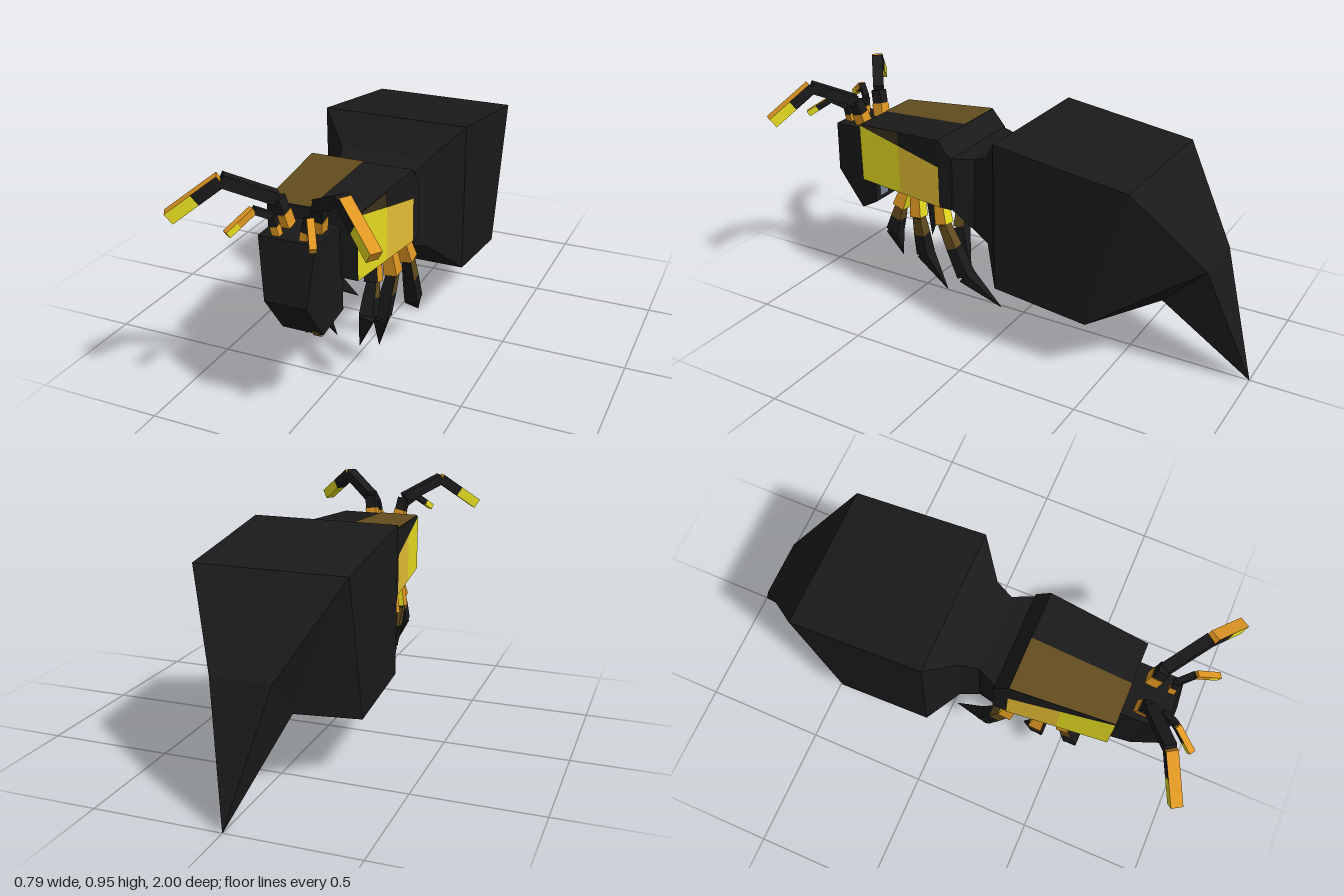
import * as THREE from 'three';

const paint = (name, color) => {
  const m = new THREE.MeshStandardMaterial({ color });
  m.name = name;
  return m;
};
const black = paint('black', 0x1a1a1a);
const yellow = paint('yellow', 0xe6dc20);
const amber = paint('amber', 0xe4be34);
const orange = paint('orange', 0xde9622);
const brown = paint('brown', 0x634d1e);
const olive = paint('olive', 0x86701e);
const darkBrown = paint('darkBrown', 0x3a301c);
const slate = paint('slate', 0x7c8494);
const pale = paint('paleGrey', 0xc4c4c4);

const V = (x, y, z) => new THREE.Vector3(x, y, z);
const lerp = THREE.MathUtils.lerp;

function facets(name, points, material) {
  const geo = new THREE.BufferGeometry().setFromPoints(points);
  geo.computeVertexNormals();
  const mesh = new THREE.Mesh(geo, material);
  mesh.name = name;
  return mesh;
}

// Four-cornered hull; each section is [topHalfWidth, topY, topZ, bottomHalfWidth, bottomY, bottomZ]
function hull(name, sections, material) {
  const rings = sections.map(([tw, ty, tz, bw, by, bz]) =>
    [V(tw, ty, tz), V(-tw, ty, tz), V(-bw, by, bz), V(bw, by, bz)]);
  const pts = [];
  const quad = (a, b, c, d) => pts.push(a, b, c, a, c, d);
  for (let i = 0; i < rings.length - 1; i++) {
    for (let k = 0; k < 4; k++) {
      const n = (k + 1) % 4;
      quad(rings[i][k], rings[i + 1][k], rings[i + 1][n], rings[i][n]);
    }
  }
  const last = rings[rings.length - 1];
  quad(...rings[0]);
  quad(last[3], last[2], last[1], last[0]);
  return facets(name, pts, material);
}

// Single painted face, corners counter-clockwise; flip reverses them
function plate(name, corners, material, flip = false) {
  const [a, b, c, d] = flip ? [...corners].reverse() : corners;
  return facets(name, [a, b, c, a, c, d], material);
}

// Tapered bar from a to b; its first face looks along ref.
// mats: [ref side, opposite, side, other side, end, start] or one material
function bar(name, a, b, wa, wb, ref, mats) {
  const d = b.clone().sub(a);
  const length = d.length();
  d.normalize();
  const x = ref.clone().addScaledVector(d, -ref.dot(d)).normalize();
  const y = d.clone().cross(x);
  const geo = new THREE.BoxGeometry(1, 1, length);
  const p = geo.attributes.position;
  for (let i = 0; i < p.count; i++) {
    const w = p.getZ(i) < 0 ? wa : wb;
    p.setXY(i, p.getX(i) * w, p.getY(i) * w);
  }
  geo.applyMatrix4(new THREE.Matrix4().makeBasis(x, y, d)
    .setPosition(a.clone().add(b).multiplyScalar(0.5)));
  geo.computeVertexNormals();
  const mesh = new THREE.Mesh(geo, mats);
  mesh.name = name;
  return mesh;
}

// Front and back faces of a bar swap places on the mirrored side
const sides = (s, front, back) => (s > 0 ? [front, back] : [back, front]);

// Jointed feeler; split is where the yellow tip starts, bendFront colours the face before it
function feeler(name, s, path, w, split, bendFront) {
  const group = new THREE.Group();
  group.name = name;
  const [a, b, c, e] = path.map(([x, y, z]) => V(s * x, y, z));
  const up = V(0, 1, 0);
  const out = V(s, 0, 0);
  const half = a.clone().lerp(b, 0.5);
  const mid = c.clone().lerp(e, split);
  group.add(
    bar('feelerBase', a, half, w * 1.1, w * 1.1, out, orange),
    bar('feelerStem', half, b, w, w, out, black),
    bar('feelerArm', b, c, w, w, up, black),
    bar('feelerBend', c, mid, w, w, up, [orange, black, ...sides(s, bendFront, black), black, orange]),
    bar('feelerTip', mid, e, w, w, up, [orange, yellow, yellow, yellow, orange, black]));
  return group;
}

function leg(name, s, path, hipFront) {
  const group = new THREE.Group();
  group.name = name;
  const [hip, knee, ankle, tip] = path.map(([x, y, z]) => V(s * x, y, z));
  const out = V(s, 0, 0);
  const mid = knee.clone().lerp(ankle, 0.45);
  group.add(
    bar('hip', hip, knee, 0.042, 0.054, out, [orange, yellow, ...sides(s, hipFront, yellow), orange, orange]),
    bar('thigh', knee, mid, 0.038, 0.048, out, [brown, brown, ...sides(s, black, brown), black, black]),
    bar('shin', mid, ankle, 0.048, 0.055, out, [black, brown, black, black, black, black]),
    bar('claw', ankle, tip, 0.055, 0.002, out, black));
  return group;
}

export function createModel() {
  const model = new THREE.Group();
  model.name = 'insect';

  // Head with chin, throat and nape marks
  model.add(hull('head', [
    [0.108, 0.738, 0.855, 0.08, 0.51, 0.885],
    [0.109, 0.738, 0.77, 0.08, 0.35, 0.77],
    [0.11, 0.738, 0.67, 0.11, 0.41, 0.67]], black));
  model.add(plate('chinMark',
    [V(0.045, 0.346, 0.774), V(0.078, 0.346, 0.774), V(0.078, 0.38, 0.8), V(0.045, 0.38, 0.8)], brown));
  model.add(plate('throatMark',
    [V(-0.08, 0.392, 0.69), V(0.075, 0.392, 0.69), V(0.065, 0.35, 0.762), V(-0.06, 0.35, 0.762)], olive));
  model.add(plate('napeMark',
    [V(0.08, 0.43, 0.667), V(0.03, 0.43, 0.667), V(0.03, 0.5, 0.667), V(0.08, 0.5, 0.667)], slate));

  // Thorax and its painted plates
  model.add(hull('thorax', [
    [0.172, 0.785, 0.68, 0.172, 0.54, 0.68],
    [0.208, 0.808, 0.27, 0.208, 0.52, 0.27],
    [0.208, 0.74, 0.212, 0.208, 0.52, 0.212]], black));
  model.add(plate('backPatch',
    [V(-0.172, 0.788, 0.68), V(0, 0.788, 0.68), V(0.01, 0.811, 0.27), V(-0.208, 0.811, 0.27)], brown));
  model.add(plate('shoulderPatch',
    [V(0.175, 0.782, 0.68), V(0.193, 0.739, 0.475), V(0.193, 0.796, 0.475), V(0.175, 0.785, 0.68)], darkBrown));
  model.add(plate('bellyPatch',
    [V(-0.2, 0.517, 0.215), V(0.2, 0.517, 0.215), V(0.19, 0.523, 0.42), V(-0.19, 0.523, 0.42)], pale));
  for (const s of [1, -1]) {
    const corner = (t, top) => V(s * (lerp(0.172, 0.208, t) + 0.003),
      top ? lerp(0.782, 0.695, t) : lerp(0.54, 0.521, t), lerp(0.68, 0.27, t));
    const band = (name, t0, t1, material) => model.add(plate(name,
      [corner(t0, false), corner(t1, false), corner(t1, true), corner(t0, true)], material, s < 0));
    band('frontSidePanel', 0, 0.5, yellow);
    band('rearSidePanel', 0.5, 1, amber);
  }

  // Waist with its painted underside, abdomen and stinger
  model.add(hull('waist', [
    [0.2, 0.74, 0.215, 0.2, 0.52, 0.22],
    [0.16, 0.74, 0.13, 0.16, 0.43, 0.14],
    [0.185, 0.77, 0.06, 0.185, 0.4, 0.06],
    [0.3, 0.885, -0.04, 0.3, 0.28, -0.04]], black));
  model.add(plate('waistPatch',
    [V(-0.196, 0.517, 0.223), V(-0.158, 0.425, 0.143), V(0, 0.425, 0.143), V(0, 0.517, 0.223)], pale));
  model.add(hull('abdomen', [
    [0.3, 0.885, -0.04, 0.3, 0.28, -0.04],
    [0.298, 0.81, -0.59, 0.298, 0.235, -0.435],
    [0.117, 0.485, -0.835, 0.12, 0.32, -0.67],
    [0.001, 0.003, -1, 0.001, 0, -1]], black));

  // Mirrored feelers and legs
  for (const s of [1, -1]) {
    model.add(
      feeler('antenna', s, [[0.06, 0.735, 0.745], [0.08, 0.845, 0.77], [0.222, 0.928, 0.88], [0.371, 0.806, 0.975]],
        0.045, 0.5, black),
      feeler('palp', s, [[0.05, 0.735, 0.825], [0.065, 0.805, 0.83], [0.105, 0.84, 0.88], [0.157, 0.778, 0.965]],
        0.025, 0.6, orange),
      leg('frontLeg', s, [[0.14, 0.54, 0.475], [0.152, 0.45, 0.505], [0.15, 0.33, 0.545], [0.11, 0.19, 0.54]], black),
      leg('middleLeg', s, [[0.17, 0.54, 0.405], [0.182, 0.44, 0.395], [0.14, 0.25, 0.4], [0.093, 0.07, 0.325]], orange),
      leg('rearLeg', s, [[0.172, 0.54, 0.29], [0.188, 0.44, 0.265], [0.175, 0.22, 0.175], [0.138, 0.09, 0.03]], orange));
  }
  return model;
}
